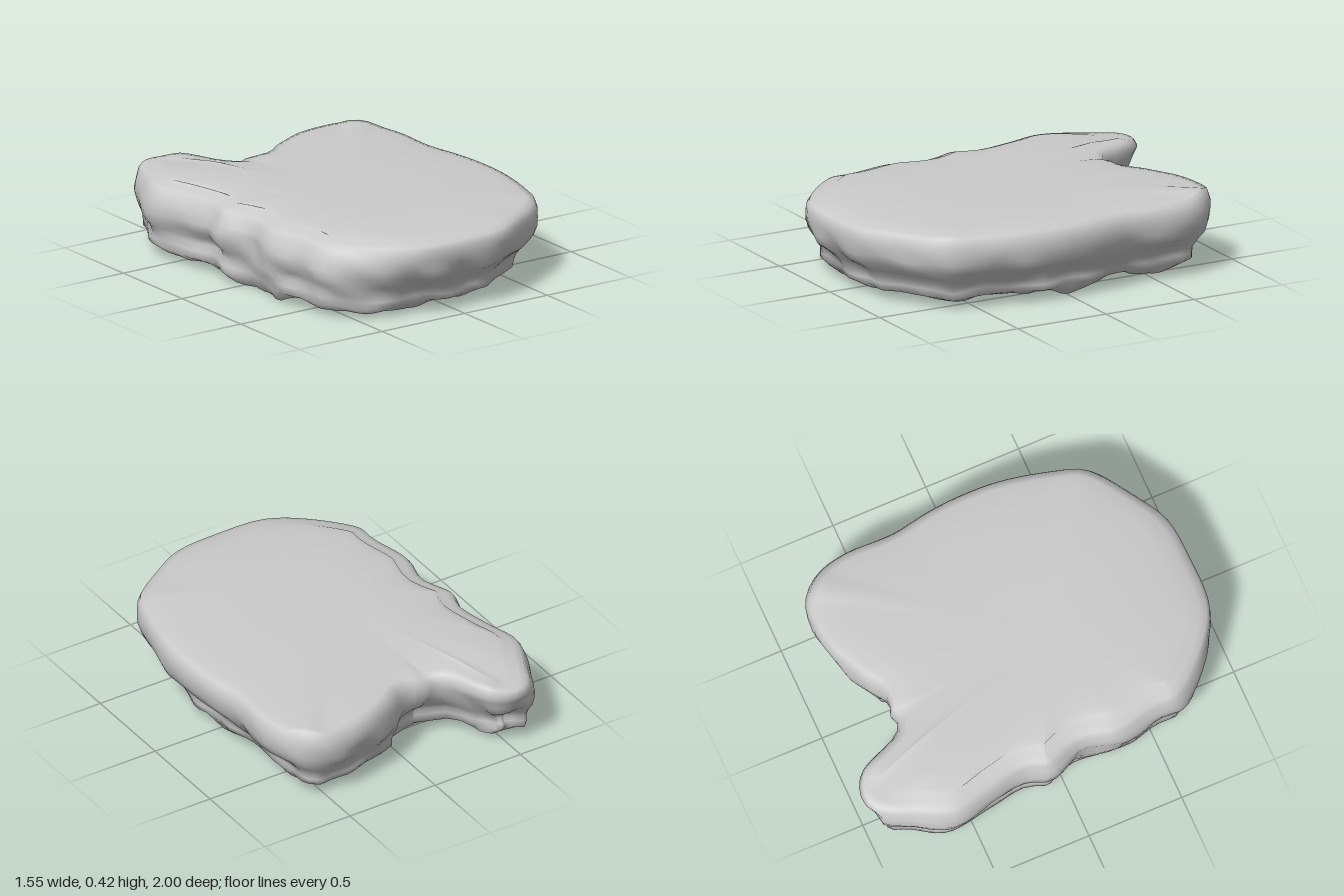
import * as THREE from 'three';

// Plan outline (x, z), starting at the tip of the back lobe and running by +x to the front
const OUTLINE = [
  [-0.48, -1], [-0.36, -0.945], [-0.29, -0.81], [-0.27, -0.75], [-0.2, -0.675], [-0.14, -0.69],
  [-0.06, -0.67], [0.06, -0.74], [0.25, -0.825], [0.4, -0.855], [0.56, -0.845], [0.68, -0.73],
  [0.725, -0.56], [0.725, -0.3], [0.76, -0.1], [0.775, 0.1], [0.765, 0.3], [0.71, 0.55],
  [0.65, 0.71], [0.44, 0.87], [0.24, 0.975], [0, 0.995], [-0.23, 0.985], [-0.4, 0.92],
  [-0.56, 0.79], [-0.66, 0.65], [-0.665, 0.53], [-0.71, 0.3], [-0.675, 0.1], [-0.735, -0.08],
  [-0.7, -0.2], [-0.735, -0.4], [-0.78, -0.6], [-0.7, -0.8], [-0.62, -0.95],
];
const COUNT = 120;
const CENTRE = { x: -0.1, z: 0.2 };
const { smoothstep, lerp } = THREE.MathUtils;

// Seeded lattice noise in the range -1..1
const hash = (i, j, k) => {
  const s = Math.sin(i * 127.1 + j * 311.7 + k * 74.7) * 43758.5453;
  return (s - Math.floor(s)) * 2 - 1;
};
function noise(x, y, z) {
  const [i, j, k] = [x, y, z].map(Math.floor);
  const [u, v, w] = [x - i, y - j, z - k].map((t) => t * t * (3 - 2 * t));
  const row = (b, c) => lerp(hash(i, b, c), hash(i + 1, b, c), u);
  const layer = (c) => lerp(row(j, c), row(j + 1, c), v);
  return lerp(layer(k), layer(k + 1), w);
}

// How far a place belongs to the back lobe, 0..1
const lobe = (x, z) => smoothstep(-z, 0.6, 0.9) * smoothstep(-x, 0, 0.3);

// Wall rings: [inset, height, bump strength]
const WALL = [
  [0, 0.352, 0.004], [0, 0.31, 0.006], [0.008, 0.265, 0.012], [0.032, 0.215, 0.018],
  [0.075, 0.17, 0.025], [0.11, 0.13, 0.028], [0.12, 0.095, 0.028], [0.125, 0.06, 0.025],
];

function buildSlab() {
  const curve = new THREE.CatmullRomCurve3(
    OUTLINE.map(([x, z]) => new THREE.Vector3(x, 0, z)), true);
  // "left" marks rim points facing -x, "back" those facing -z away from the lobe
  const rim = Array.from({ length: COUNT }, (_, i) => {
    const p = curve.getPointAt(i / COUNT), t = curve.getTangentAt(i / COUNT);
    return {
      x: p.x, z: p.z, nx: t.z, nz: -t.x,
      left: smoothstep(-t.z, 0.2, 0.8),
      back: smoothstep(t.x, 0.2, 0.8) * smoothstep(p.x, -0.25, 0),
      lobe: lobe(p.x, p.z),
    };
  });
  const inset = (p, d) => ({ x: p.x - p.nx * d, z: p.z - p.nz * d });
  const toCentre = (p, k) => ({ x: lerp(CENTRE.x, p.x, k), z: lerp(CENTRE.z, p.z, k) });
  const rings = [];

  // Flat top falling away softly to the rim: most at the front and -x, least at the back
  const rimDrop = (p) => 0.05 - 0.022 * smoothstep(p.nx, 0.2, 0.9) - 0.03 * p.back
    - 0.03 * p.lobe;
  const topPoint = (p, q, share) =>
    [q.x, 0.425 - 0.028 * lobe(q.x, q.z) - rimDrop(p) * share, q.z];
  for (const [k, share] of [[0, 0], [0.35, 0], [0.65, 0.04], [0.84, 0.22], [0.94, 0.36]]) {
    rings.push(rim.map((p) => topPoint(p, toCentre(inset(p, 0.1), k), share)));
  }
  for (const [d, share] of [[0.1, 0.48], [0.055, 0.7], [0.018, 0.93]]) {
    rings.push(rim.map((p) => topPoint(p, inset(p, d + 0.03 * p.left), share)));
  }

  // Lumpy wall: nearly upright on the -x side, undercut elsewhere, tapering under the lobe
  for (const [d, h, amount] of WALL) {
    const low = 1 - smoothstep(h, 0.06, 0.2);
    rings.push(rim.map((p) => {
      const shelve = d * (1 - 0.65 * p.left - 0.25 * p.back);
      const taper = 0.03 * p.left * smoothstep(h, 0.27, 0.36)
        + 0.035 * p.lobe * (1 - p.left) * smoothstep(0.36 - h, 0, 0.08) * (1 - low);
      const bump = amount * noise(p.x * 7, h * 13, p.z * 7);
      const q = inset(p, Math.max(0, shelve + taper + bump));
      const lump = h < 0.3 ? 0.022 * noise(p.x * 6, 8 + h * 8, p.z * 6) : 0;
      return [q.x, Math.max(0.02, h + lump + 0.025 * p.lobe * low), q.z];
    }));
  }

  // Rough underside, shallower under the lobe
  for (let step = 0; step <= 14; step++) {
    const k = 0.97 * (1 - step / 14);
    rings.push(rim.map((p) => {
      const q = toCentre(inset(p, 0.14 - 0.085 * p.left), k);
      const knobs = 0.03 * noise(q.x * 5, 20, q.z * 6.5) + 0.012 * noise(q.x * 11, 30, q.z * 13);
      return [q.x, Math.max(0.003, 0.036 + knobs) + 0.03 * lobe(q.x, q.z), q.z];
    }));
  }

  // The first and last rings close to single shared points
  const last = rings.length - 1;
  const positions = [...rings[0][0], ...rings.slice(1, last).flat(2), ...rings[last][0]];
  const end = positions.length / 3 - 1;
  const at = (r, i) => (r === 0 ? 0 : r === last ? end : 1 + (r - 1) * COUNT + (i % COUNT));
  const index = [];
  for (let r = 0; r < last; r++) {
    for (let i = 0; i < COUNT; i++) {
      const a = at(r, i), b = at(r, i + 1), c = at(r + 1, i), d = at(r + 1, i + 1);
      if (r > 0) index.push(a, b, c);
      if (r < last - 1) index.push(b, d, c);
    }
  }
  const geometry = new THREE.BufferGeometry();
  geometry.setAttribute('position', new THREE.Float32BufferAttribute(positions, 3));
  geometry.setIndex(index);
  geometry.computeVertexNormals();
  return geometry;
}

export function createModel() {
  const group = new THREE.Group();
  group.name = 'rockPlatform';
  const slab = new THREE.Mesh(buildSlab(), new THREE.MeshStandardMaterial({ color: 0xcccccc }));
  slab.name = 'rockSlab';
  group.add(slab);
  return group;
}
